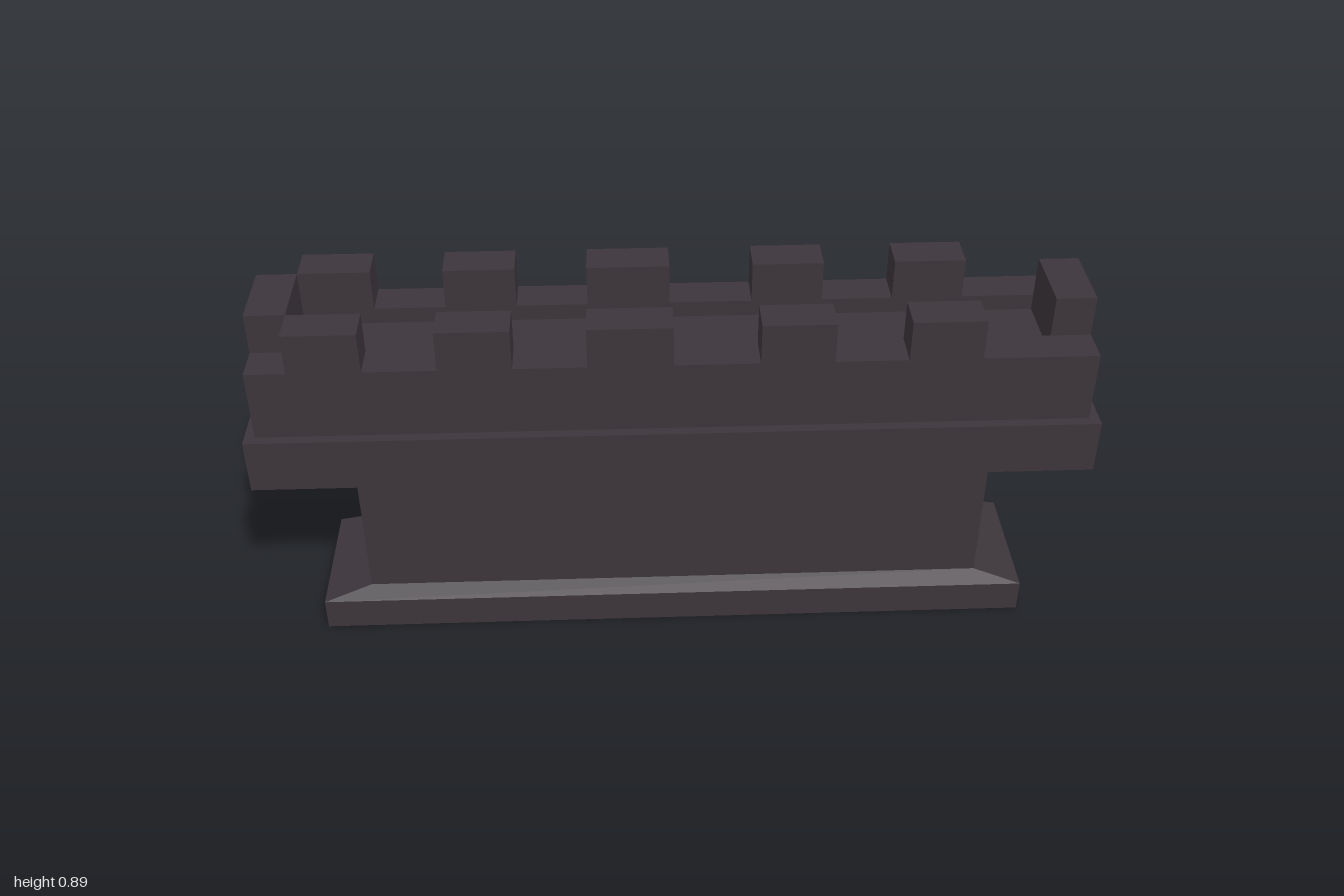
import * as THREE from 'three';

const stone = new THREE.MeshStandardMaterial({ color: 0x3c353b, side: THREE.DoubleSide });
stone.name = 'dark stone';

function add(group, name, geometry) {
  const mesh = new THREE.Mesh(geometry, stone);
  mesh.name = name;
  group.add(mesh);
  return mesh;
}

// Box from its minimum and maximum corners
function box(x0, x1, y0, y1, z0, z1) {
  return new THREE.BoxGeometry(x1 - x0, y1 - y0, z1 - z0)
    .translate((x0 + x1) / 2, (y0 + y1) / 2, (z0 + z1) / 2);
}

// Open four-sided shell through rectangular sections [halfX, y, halfZ]
function rectShell(sections) {
  const signs = [[1, 1], [1, -1], [-1, -1], [-1, 1]];
  const pos = [];
  for (let i = 0; i < sections.length - 1; i++) {
    for (let k = 0; k < 4; k++) {
      const corner = (s, c) => [s[0] * c[0], s[1], s[2] * c[1]];
      const a = corner(sections[i], signs[k]);
      const b = corner(sections[i], signs[(k + 1) % 4]);
      const c = corner(sections[i + 1], signs[(k + 1) % 4]);
      const d = corner(sections[i + 1], signs[k]);
      pos.push(...a, ...b, ...c, ...a, ...c, ...d);
    }
  }
  const g = new THREE.BufferGeometry();
  g.setAttribute('position', new THREE.Float32BufferAttribute(pos, 3));
  g.computeVertexNormals();
  return g;
}

function rectPoints(hx, hz) {
  return [[-hx, -hz], [hx, -hz], [hx, hz], [-hx, hz]].map(p => new THREE.Vector2(...p));
}

export function createModel() {
  const model = new THREE.Group();
  model.name = 'battlement wall';

  // Hollow foot, sloped shoulder and wall, open underneath
  add(model, 'foot', rectShell([[0.885, 0, 0.165], [0.885, 0.083, 0.165], [0.765, 0.12, 0.143]]));
  add(model, 'wall', rectShell([[0.765, 0.12, 0.143], [0.765, 0.48, 0.143]]));

  // Projecting band
  add(model, 'band', box(-1, 1, 0.48, 0.615, -0.206, 0.206));

  // Parapet ring around a sunken walkway
  const ring = new THREE.Shape(rectPoints(0.975, 0.181));
  ring.holes.push(new THREE.Path(rectPoints(0.88, 0.091).reverse()));
  const parapet = new THREE.ExtrudeGeometry(ring, { depth: 0.175, bevelEnabled: false });
  parapet.rotateX(-Math.PI / 2).translate(0, 0.615, 0);
  add(model, 'parapet', parapet);
  add(model, 'walkway', box(-0.88, 0.88, 0.615, 0.75, -0.091, 0.091));

  // Merlons along both long sides
  const spans = [[-0.88, -0.71], [-0.54, -0.37], [-0.2, -0.003], [0.195, 0.365], [0.535, 0.705]];
  for (const [x0, x1] of spans) {
    add(model, 'frontMerlon', box(x0, x1, 0.79, 0.89, 0.091, 0.181));
    add(model, 'backMerlon', box(x0, x1, 0.79, 0.89, -0.181, -0.091));
  }

  // One merlon centred on each end
  add(model, 'leftEndMerlon', box(0.88, 0.975, 0.79, 0.89, -0.091, 0.091));
  add(model, 'rightEndMerlon', box(-0.975, -0.88, 0.79, 0.89, -0.091, 0.091));

  return model;
}
